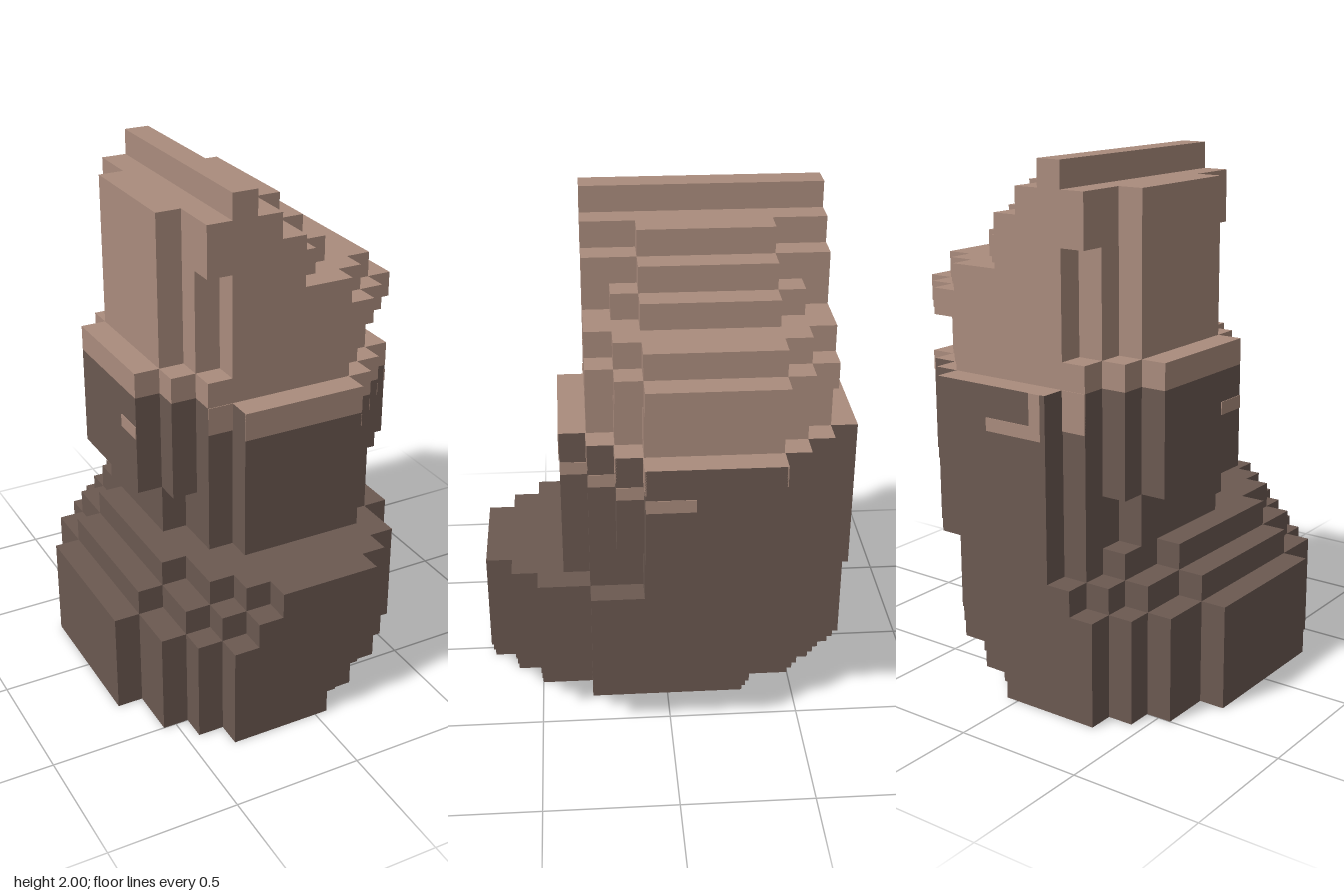
import * as THREE from 'three';

const CELL = 0.1;
const ORIGIN = [-0.65, 0, -0.7];

// Tiers from the ground up: z range in cells, then layers of
// [left, right, inset of the rows counted from either end].
const BASE = [3, 2, 1, 1], WAIST = [2, 1, 1], LEDGE = [3, 2, 1], PEAK = [2, 1], CREST = [1, 1];
const TIERS = [
  { z: [0, 14], layers: [[0, 10, BASE], [0, 11, BASE], [0, 12, BASE], [0, 12, BASE], [1, 12, BASE], [2, 12, BASE]] },
  { z: [0, 11], layers: [[3, 12, WAIST], [3, 12, WAIST], [2, 13, LEDGE], [2, 13, LEDGE], [2, 13, LEDGE], [2, 13, LEDGE]] },
  { z: [1, 10], layers: [[2, 12, PEAK], [3, 12, PEAK], [3, 13, PEAK], [3, 12, PEAK], [3, 10, PEAK],
    [3, 9, CREST], [3, 8, CREST], [5, 6, []]] },
];
const LAYERS = TIERS.flatMap(t => t.layers.map(([left, right, inset]) => ({ z: t.z, left, right, inset })));

function solid([i, j, k]) {
  const layer = LAYERS[j];
  if (!layer || k < layer.z[0] || k >= layer.z[1]) return false;
  const fromEnd = Math.min(k - layer.z[0], layer.z[1] - 1 - k);
  const inset = layer.inset[fromEnd] ?? 0;
  return i >= layer.left + inset && i < layer.right - inset;
}

// Exposed faces of the stepped rock that pass the filter
function rockGeometry(accept) {
  const positions = [], index = [];
  for (let j = 0; j < LAYERS.length; j++)
    for (let i = 0; i < 13; i++)
      for (let k = 0; k < 14; k++) {
        const cell = [i, j, k];
        if (!solid(cell)) continue;
        for (let axis = 0; axis < 3; axis++)
          for (const sign of [-1, 1]) {
            const next = [...cell];
            next[axis] += sign;
            if (solid(next) || !accept(j, axis === 1 && sign === 1)) continue;
            const u = (axis + 1) % 3, v = (axis + 2) % 3, n = positions.length / 3;
            for (const [a, b] of [[0, 0], [1, 0], [1, 1], [0, 1]]) {
              const p = [...cell];
              if (sign > 0) p[axis]++;
              p[u] += a;
              p[v] += b;
              positions.push(...p.map((c, d) => ORIGIN[d] + c * CELL));
            }
            index.push(...(sign > 0 ? [n, n + 1, n + 2, n, n + 2, n + 3] : [n, n + 2, n + 1, n, n + 3, n + 2]));
          }
      }
  const geometry = new THREE.BufferGeometry();
  geometry.setAttribute('position', new THREE.Float32BufferAttribute(positions, 3));
  geometry.setIndex(index);
  const flat = geometry.toNonIndexed();
  flat.computeVertexNormals();
  return flat;
}

export function createModel() {
  const model = new THREE.Group();
  model.name = 'steppedRock';
  const darkStone = new THREE.MeshStandardMaterial({ color: 0x6b5951 });
  darkStone.name = 'dark stone';
  const lightStone = new THREE.MeshStandardMaterial({ color: 0xaa8c7d });
  lightStone.name = 'light stone';

  const add = (name, geometry, material, parent = model) => {
    const mesh = new THREE.Mesh(geometry, material);
    mesh.name = name;
    parent.add(mesh);
    return mesh;
  };

  // The dark body ends in a light ledge and peak
  const isLight = (j, isTop) => j > 11 || (isTop && j === 11);
  add('lowerRock', rockGeometry((j, isTop) => !isLight(j, isTop)), darkStone);
  add('upperRock', rockGeometry(isLight), lightStone);

  // Thin painted plates on the vertical faces
  const markings = new THREE.Group();
  markings.name = 'lightMarkings';
  model.add(markings);
  const T = 0.006;
  const plateZ = (name, z, x0, x1, y0, y1) =>
    add(name, new THREE.BoxGeometry(x1 - x0, y1 - y0, T), lightStone, markings)
      .position.set((x0 + x1) / 2, (y0 + y1) / 2, z);
  const plateX = (name, x, z0, z1, y0, y1) =>
    add(name, new THREE.BoxGeometry(T, y1 - y0, z1 - z0), lightStone, markings)
      .position.set(x, (y0 + y1) / 2, (z0 + z1) / 2);

  // Band under the ledge at the front
  plateZ('frontBand', 0.4, -0.15, 0.35, 1.09, 1.2);
  plateZ('frontBandEnd', 0.3, -0.25, -0.15, 1.09, 1.2);
  for (let s = 0; s < 3; s++)
    plateZ('frontStepBand', 0.3 - s * CELL, 0.35 + s * CELL, 0.45 + s * CELL, 1.1, 1.2);

  // Narrow streaks along both sides
  for (let s = 0; s < 3; s++)
    plateX('leftStepStreak', 0.35 + s * CELL, 0.3 - s * CELL, 0.4 - s * CELL, 1.03, 1.08);
  plateX('leftStreak', 0.65, -0.08, 0.1, 1.03, 1.08);
  plateX('rightStreak', -0.45, -0.03, 0.1, 1.03, 1.08);

  // Hooked streak and step bands at the back
  plateZ('backStreak', -0.7, -0.11, 0.12, 1.03, 1.08);
  plateZ('backStreakHook', -0.7, -0.13, -0.08, 1.03, 1.2);
  plateZ('backStepBand', -0.6, -0.25, -0.15, 1.05, 1.2);
  plateZ('backStepBand', -0.4, 0.55, 0.65, 1.12, 1.2);

  return model;
}
